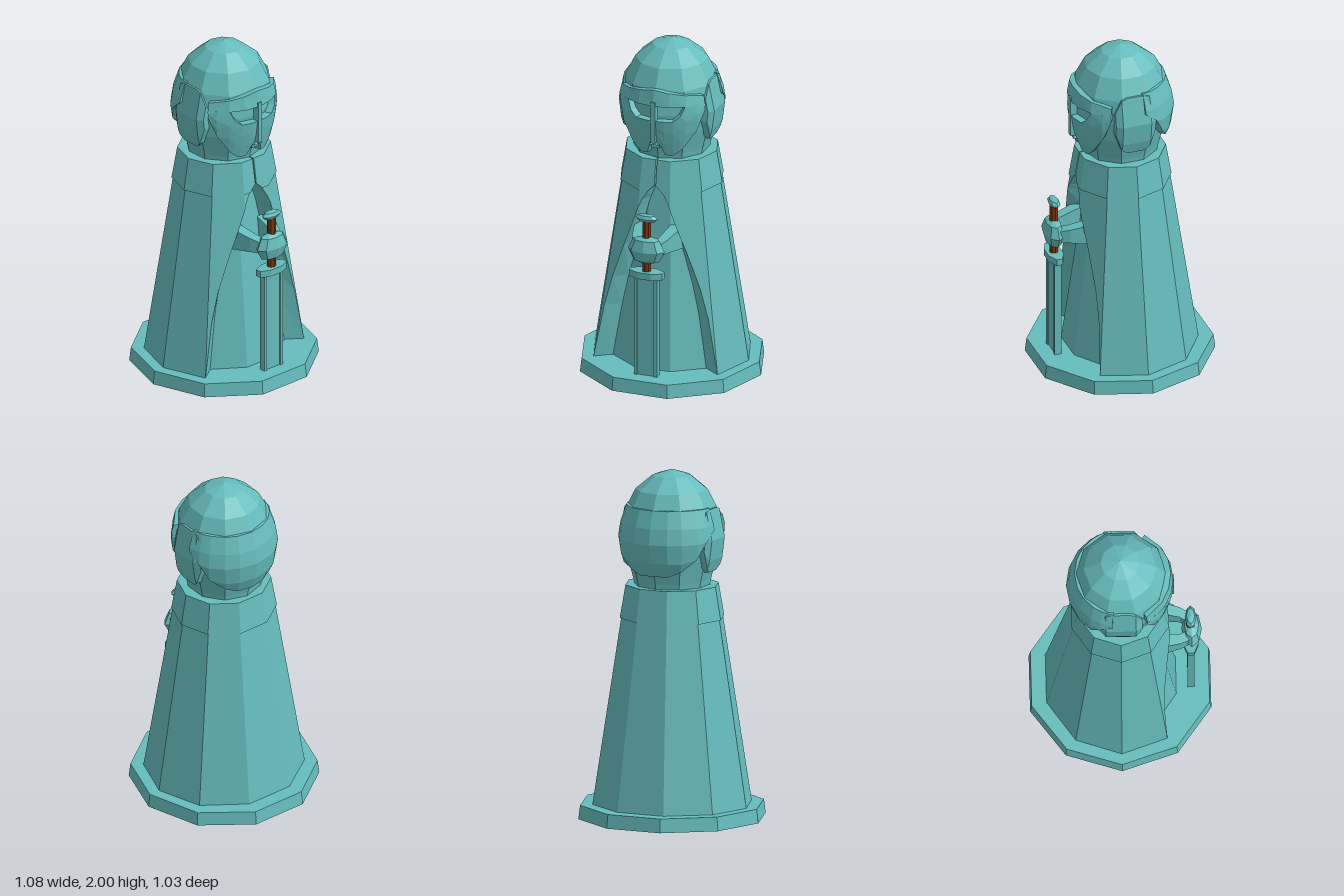
import * as THREE from 'three';

const stone = new THREE.MeshStandardMaterial({ color: 0x66bcbc, flatShading: true });
stone.name = 'verdigris';
const leather = new THREE.MeshStandardMaterial({ color: 0x7c3512, flatShading: true });
leather.name = 'grip brown';

const rad = THREE.MathUtils.degToRad;
// piecewise linear lookup, table of [key, value] with rising keys
function lookup(table, k) {
  if (k <= table[0][0]) return table[0][1];
  for (let i = 1; i < table.length; i++) {
    const [k0, v0] = table[i - 1], [k1, v1] = table[i];
    if (k <= k1) return v0 + (v1 - v0) * (k - k0) / (k1 - k0);
  }
  return table[table.length - 1][1];
}
const polar = (deg, r, y) => [r * Math.sin(rad(deg)), y, r * Math.cos(rad(deg))];

function fromTriangles(tris) {
  const pos = [];
  const [A, B, C] = [new THREE.Vector3(), new THREE.Vector3(), new THREE.Vector3()];
  for (const [a, b, c] of tris) {
    A.set(...a); B.set(...b).sub(A); C.set(...c).sub(A);
    if (B.cross(C).length() > 1e-8) pos.push(...a, ...b, ...c);
  }
  const g = new THREE.BufferGeometry();
  g.setAttribute('position', new THREE.Float32BufferAttribute(pos, 3));
  g.computeVertexNormals();
  return g;
}
// open skin: rows run downward, points in a row run to the right
function skin(rows) {
  const t = [];
  for (let i = 0; i + 1 < rows.length; i++)
    for (let j = 0; j + 1 < rows[i].length; j++) {
      const a = rows[i][j], b = rows[i + 1][j], c = rows[i + 1][j + 1], d = rows[i][j + 1];
      t.push([a, b, c], [a, c, d]);
    }
  return fromTriangles(t);
}
// capped solid through closed sections; side -1 mirrors it in x
function loft(sections, side = 1) {
  const t = [], n = sections[0].length, last = sections.length - 1;
  const mid = s => [0, 1, 2].map(k => s.reduce((sum, p) => sum + p[k], 0) / n);
  for (let i = 0; i < n; i++) {
    const k = (i + 1) % n;
    for (let j = 0; j < last; j++) {
      const a = sections[j][i], b = sections[j][k], c = sections[j + 1][k], d = sections[j + 1][i];
      t.push([a, b, c], [a, c, d]);
    }
    t.push([mid(sections[0]), sections[0][k], sections[0][i]]);
    t.push([mid(sections[last]), sections[last][i], sections[last][k]]);
  }
  if (side > 0) return fromTriangles(t);
  return fromTriangles(t.map(tri => tri.map(([x, y, z]) => [-x, y, z]).reverse()));
}

export function createModel() {
  const model = new THREE.Group();
  const add = (name, geo, mat = stone, x = 0, y = 0, z = 0) => {
    const m = new THREE.Mesh(geo, mat);
    m.name = name;
    m.position.set(x, y, z);
    model.add(m);
    return m;
  };
  const Q = Math.PI / 2, DEPTH = 0.95;

  // ten-sided plinth
  add('plinth', new THREE.CylinderGeometry(0.53, 0.54, 0.08, 10, 1, false, Q), stone, 0, 0.04);

  // inner robe
  const bodyR = y => 0.35 - 0.143 * (y - 0.08);
  add('robe', new THREE.CylinderGeometry(bodyR(1.33), bodyR(0.08), 1.25, 10, 1, false, Q)
    .scale(1, 1, DEPTH), stone, 0, 0.705);

  // cloak with collar: ten-sided cone whose front opening widens downward
  // each row: height, radius, half width of the opening
  const cloakR = y => 0.465 - 0.157 * (y - 0.08);
  const opening = [[1.19, 0.004], [1.15, 0.045], [1.09, 0.08], [1.05, 0.097], [0.93, 0.14],
    [0.8, 0.19], [0.58, 0.268], [0.4, 0.316], [0.08, 0.376]];
  const cloakRows = [[1.34, 0.272, 0.004], [1.19, 0.298, 0.004], [1.15, 0.305, 0.045],
    ...opening.slice(1).map(([y, w]) => [y, cloakR(y), w])];
  const cloakRow = ([y, R, w]) => {
    const corner = d => [R * Math.cos(rad(d)), y, R * Math.sin(rad(d)) * DEPTH];
    const c72 = corner(72), c36 = corner(36);
    const f = Math.min(1, Math.max(0, (w - c72[0]) / (c36[0] - c72[0])));
    const edge = [w, y, c72[2] + (c36[2] - c72[2]) * f];
    const k = bodyR(y) / R;
    const half = [[edge[0] * k, y, edge[2] * k], edge,
      ...[72, 36].map(d => (corner(d)[0] < w ? edge : corner(d))), corner(0), corner(-36), corner(-72)];
    return [...half, ...half.map(([x, h, z]) => [-x, h, z]).reverse()];
  };
  const rows = cloakRows.map(cloakRow);
  const rim = rows[0].map(([x, y, z]) => [x * 0.6, y, z * 0.6]);
  add('cloak', skin([rim, ...rows]));

  // neck and head
  const lathe = pts => new THREE.LatheGeometry(pts.map(p => new THREE.Vector2(...p)), 10);
  add('neck', new THREE.CylinderGeometry(0.225, 0.215, 0.06, 10), stone, 0, 1.36);
  add('head', lathe([[0, 1.37], [0.222, 1.37], [0.255, 1.5], [0.27, 1.62], [0.262, 1.72], [0, 1.75]]));

  // helmet
  add('helmetDome', lathe([[0.24, 1.69], [0.278, 1.69], [0.265, 1.77], [0.207, 1.885], [0.11, 1.965], [0, 2]]));
  const guardR = [[1.42, 0.255], [1.5, 0.29], [1.61, 0.306], [1.7, 0.292], [1.8, 0.258]];
  const guardHalf = [[100, 1.68], [114, 1.62], [126, 1.52], [144, 1.45], [160, 1.42]];
  const guard = [...guardHalf, [180, 1.42], ...guardHalf.map(([d, y]) => [360 - d, y]).reverse()];
  add('neckGuard', loft(guard.map(([d, low]) => {
    const ys = [1.8, 1.7, 1.61, 1.5, 1.42].map(y => Math.max(y, low));
    return [...ys.map(y => polar(d, lookup(guardR, y), y)), polar(d, 0.2, low), polar(d, 0.2, 1.8)];
  })));

  // brow band, rising toward the middle
  const brow = [[-60, 1.735, 1.675], [-36, 1.755, 1.69], [-18, 1.77, 1.69], [0, 1.785, 1.69],
    [18, 1.77, 1.69], [36, 1.755, 1.69], [60, 1.735, 1.675]];
  add('brow', loft(brow.map(([d, top, low]) => [polar(d, 0.288, top), polar(d, 0.302, low),
    polar(d, 0.23, low), polar(d, 0.23, top)])));

  // nose bar and mouth
  add('noseBar', new THREE.BoxGeometry(0.028, 0.25, 0.04), stone, 0, 1.59, 0.285);
  add('upperLip', new THREE.CylinderGeometry(0.014, 0.04, 0.025, 4, 1, false, Math.PI / 4)
    .scale(1, 1, 0.7), stone, 0, 1.462, 0.27);
  add('mouth', new THREE.BoxGeometry(0.05, 0.016, 0.03), stone, 0, 1.43, 0.25);

  // cheek plates: angle, upper edge below the eye, lower edge
  const maskR = [[1.37, 0.252], [1.5, 0.286], [1.62, 0.303], [1.69, 0.295]];
  const mask = [[2, 1.6, 1.475], [8, 1.6, 1.43], [12, 1.6, 1.38], [22, 1.6, 1.375], [30, 1.635, 1.4],
    [36, 1.69, 1.43], [50, 1.69, 1.53], [60, 1.69, 1.65]];
  const ear = [[0.12, 1.7, 1.56, -0.025], [0.085, 1.78, 1.46, 0], [0.05, 1.79, 1.43, 0],
    [-0.05, 1.79, 1.43, 0], [-0.085, 1.78, 1.46, 0], [-0.12, 1.7, 1.56, -0.025]];
  const earX = [[1.43, 0.252], [1.5, 0.275], [1.62, 0.29], [1.79, 0.255]];
  for (const side of [1, -1]) {
    const tag = side > 0 ? 'left' : 'right';
    add(tag + 'CheekPlate', loft(mask.map(([d, top, low]) => {
      const ys = [0, 1 / 3, 2 / 3, 1].map(f => top + (low - top) * f);
      return [...ys.map(y => polar(d, lookup(maskR, y), y)),
        ...ys.reverse().map(y => polar(d, lookup(maskR, y) - 0.05, y))];
    }), side));
    add(tag + 'EarFlap', loft(ear.map(([z, top, low, dx]) => [
      ...[top, 1.62, Math.max(low, 1.5), low].map(y => [lookup(earX, y) + dx, y, z]),
      [0.2, low, z], [0.2, top, z]]), side));
    // forearm from the hands back into the cloak
    const arm = (x0, x1, y0, y1, z) => [[x1, y1, z], [x1, y0, z], [x0, y0, z], [x0, y1, z]];
    add(tag + 'Arm', loft([arm(0.02, 0.085, 0.82, 0.89, 0.39), arm(0.05, 0.11, 0.82, 0.905, 0.34),
      arm(0.07, 0.145, 0.8, 0.935, 0.2)], side));
  }

  // sword standing on the plinth, with a fullered blade
  const SZ = 0.4;
  add('hands', new THREE.SphereGeometry(1, 8, 4).scale(0.112, 0.09, 0.058), stone, 0, 0.85, SZ + 0.005);
  const blade = new THREE.Shape([[-0.07, 0.02], [-0.07, -0.02], [-0.05, -0.02], [-0.05, -0.012],
    [0.05, -0.012], [0.05, -0.02], [0.07, -0.02], [0.07, 0.02], [0.05, 0.02], [0.05, 0.012],
    [-0.05, 0.012], [-0.05, 0.02]].map(p => new THREE.Vector2(...p)));
  add('blade', new THREE.ExtrudeGeometry(blade, { depth: 0.61, bevelEnabled: false })
    .rotateX(-Math.PI / 2), stone, 0, 0.08, SZ);
  add('crossGuard', new THREE.CylinderGeometry(0.1, 0.1, 0.04, 8, 1, false, Math.PI / 8)
    .scale(1.08, 1, 0.48), stone, 0, 0.7, SZ);
  add('grip', new THREE.CylinderGeometry(0.026, 0.026, 0.31, 8), leather, 0, 0.875, SZ);
  add('pommel', new THREE.SphereGeometry(1, 8, 4).scale(0.068, 0.026, 0.032), stone, 0, 1.043, SZ);

  return model;
}
